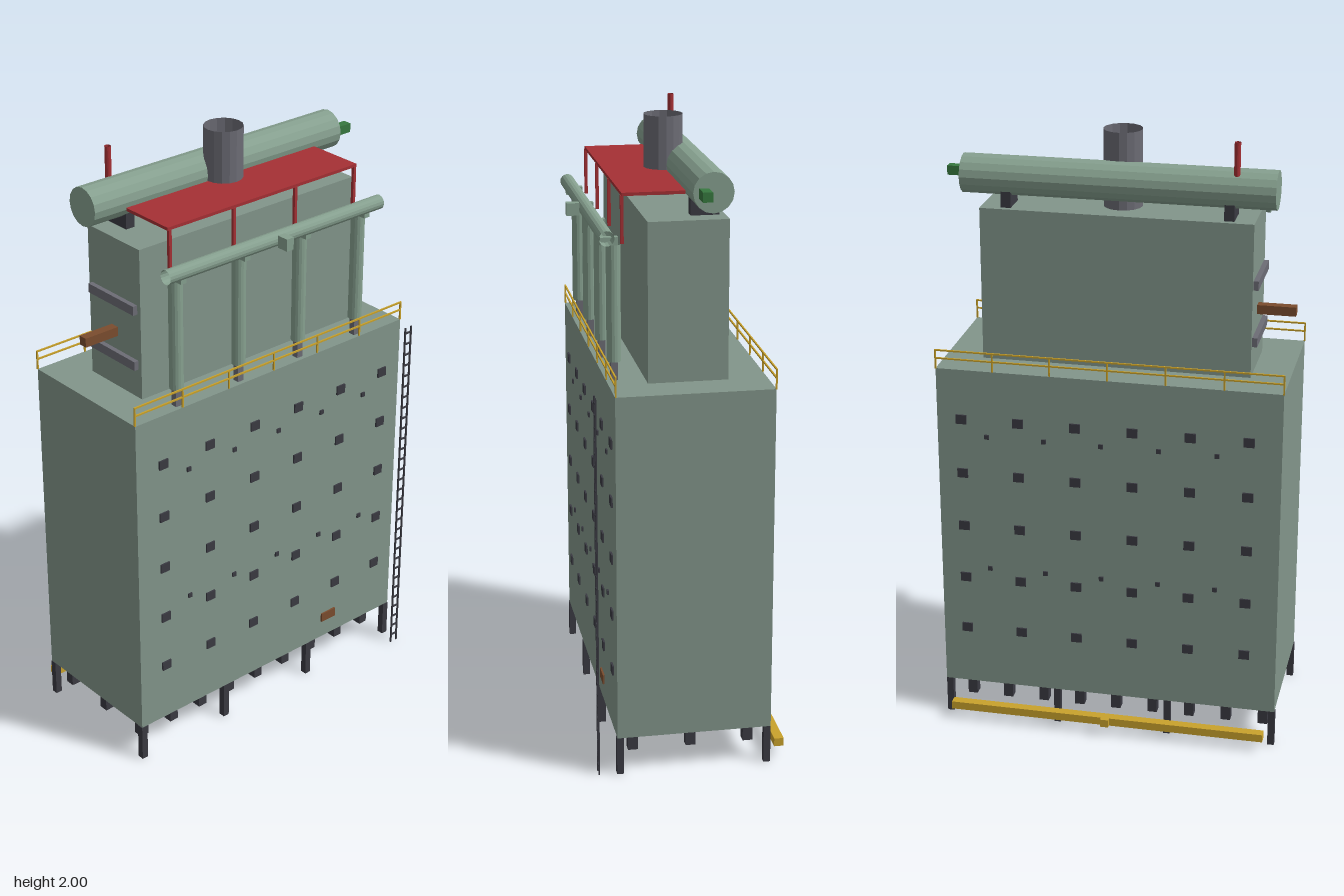
import * as THREE from 'three';

const mat = (name, color, extra = {}) =>
  Object.assign(new THREE.MeshStandardMaterial({ color, flatShading: true, ...extra }), { name });

export function createModel() {
  const root = new THREE.Group();
  root.name = 'boiler';

  const sage = mat('sage casing', 0x82958a);
  const pale = mat('pale sage pipe', 0x86a08f, { side: THREE.DoubleSide });
  const steel = mat('grey steel', 0x6c6c75, { side: THREE.DoubleSide });
  const dark = mat('charcoal', 0x3a3a42);
  const red = mat('red', 0xa53034, { side: THREE.DoubleSide });
  const gold = mat('safety yellow', 0xc9a22c);
  const brown = mat('brown', 0x7a4c2e);
  const green = mat('green', 0x37783f);

  const group = (name) => {
    const g = new THREE.Group();
    g.name = name;
    root.add(g);
    return g;
  };
  // Box given by its minimum and maximum on each axis
  const box = (parent, name, m, x0, x1, y0, y1, z0, z1) => {
    const mesh = new THREE.Mesh(new THREE.BoxGeometry(x1 - x0, y1 - y0, z1 - z0), m);
    mesh.position.set((x0 + x1) / 2, (y0 + y1) / 2, (z0 + z1) / 2);
    mesh.name = name;
    parent.add(mesh);
    return mesh;
  };
  const tube = (parent, name, m, r, len, x, y, z, alongX = false, open = true) => {
    const mesh = new THREE.Mesh(new THREE.CylinderGeometry(r, r, len, 16, 1, open), m);
    mesh.position.set(x, y, z);
    if (alongX) mesh.rotation.z = Math.PI / 2;
    mesh.name = name;
    parent.add(mesh);
    return mesh;
  };

  // Furnace casing and upper pass
  box(root, 'furnace', sage, -0.56, 0.56, 0.125, 1.25, -0.248, 0.246);
  box(root, 'upperPass', sage, -0.436, 0.436, 1.25, 1.752, -0.125, 0.125);

  // Steam drum with saddles, nozzle, vent and open stack
  tube(root, 'drum', pale, 0.0625, 1, 0, 1.847, -0.0625, true, false);
  for (const s of [-1, 1])
    box(root, 'drumSaddle', dark, s * 0.355 - 0.016, s * 0.355 + 0.016, 1.75, 1.81, -0.107, -0.018);
  box(root, 'drumNozzle', green, 0.5, 0.56, 1.831, 1.861, -0.048, -0.018);
  tube(root, 'ventPipe', red, 0.01, 0.11, -0.375, 1.945, -0.094);
  tube(root, 'stack', steel, 0.0625, 0.25, 0, 1.875, 0);

  // Red canopy on four posts
  const posts = [-0.375, -0.125, 0.125, 0.375];
  box(root, 'canopy', red, -0.383, 0.383, 1.822, 1.832, 0, 0.195);
  for (const x of posts)
    box(root, 'canopyPost', red, x - 0.005, x + 0.005, 1.675, 1.824, 0.188, 0.198);

  // Front header, its outlet and the four downcomers
  const header = group('headerAssembly');
  tube(header, 'header', pale, 0.0235, 0.872, 0, 1.706, 0.248, true);
  box(header, 'headerOutlet', pale, -0.014, 0.014, 1.686, 1.726, 0.27, 0.311);
  for (const p of posts) {
    const x = p - 0.002;
    tube(header, 'downcomer', pale, 0.0225, 0.365, x, 1.4925, 0.22);
    box(header, 'downcomerLink', pale, x - 0.011, x + 0.011, 1.672, 1.698, 0.206, 0.26);
    box(header, 'downcomerFoot', steel, x - 0.011, x + 0.011, 1.25, 1.312, 0.209, 0.231);
  }

  // Side duct and stiffener bars
  box(root, 'sideDuct', brown, -0.56, -0.435, 1.426, 1.456, -0.018, 0.012);
  for (const y of [1.363, 1.55])
    box(root, 'stiffenerBar', steel, -0.452, -0.435, y - 0.015, y + 0.015, -0.11, 0.11);

  // Front and back railings
  const railings = group('railings');
  for (const z of [-0.248, 0.244]) {
    for (const y of [1.285, 1.312])
      box(railings, 'rail', gold, -0.562, 0.562, y - 0.0025, y + 0.0025, z - 0.0025, z + 0.0025);
    for (let i = -3; i <= 3; i++) {
      const x = i * 0.1865;
      box(railings, 'railPost', gold, x - 0.0025, x + 0.0025, 1.25, 1.312, z - 0.0025, z + 0.0025);
    }
  }

  // Burner and sight ports on front and back walls
  const ports = group('wallPorts');
  for (const z of [-0.249, 0.247]) {
    const port = (name, x, y, hx, hy) =>
      box(ports, name, dark, x - hx, x + hx, y - hy, y + hy, z - 0.0045, z + 0.0045);
    for (let i = 0; i < 6; i++)
      for (let j = 0; j < 5; j++)
        port('burnerPort', -0.455 + i * 0.187, 0.329 + j * 0.188, 0.0175, 0.0155);
    for (let i = 0; i < 5; i++)
      for (const y of [0.556, 1.026])
        port('sightPort', -0.354 + i * 0.1875, y, 0.0075, 0.0075);
  }
  box(root, 'accessHatch', brown, 0.233, 0.295, 0.189, 0.221, 0.242, 0.252);

  // Ladder
  const ladder = group('ladder');
  for (const x of [0.526, 0.552])
    box(ladder, 'ladderRail', dark, x - 0.0025, x + 0.0025, 0, 1.25, 0.302, 0.307);
  for (let y = 0.03; y < 1.25; y += 0.04)
    box(ladder, 'rung', dark, 0.526, 0.552, y - 0.0025, y + 0.0025, 0.302, 0.307);

  // Columns and ash hoppers under the furnace
  const base = group('base');
  for (const z of [-0.237, 0.237])
    for (const x of [-0.551, -0.2, 0.175, 0.549])
      box(base, 'column', dark, x - 0.011, x + 0.011, 0, 0.125, z - 0.011, z + 0.011);
  for (const z of [-0.187, 0, 0.187])
    for (let i = 0; i < 9; i++) {
      const x = -0.516 + i * 0.1248;
      box(base, 'hopper', dark, x - 0.016, x + 0.016, 0.05, 0.125, z - 0.016, z + 0.016);
    }

  // Yellow gas main at the rear
  box(root, 'gasMain', gold, -0.53, 0.53, 0.036, 0.063, -0.299, -0.268);
  box(root, 'gasInlet', gold, -0.014, 0.014, 0.036, 0.063, -0.312, -0.295);

  return root;
}
